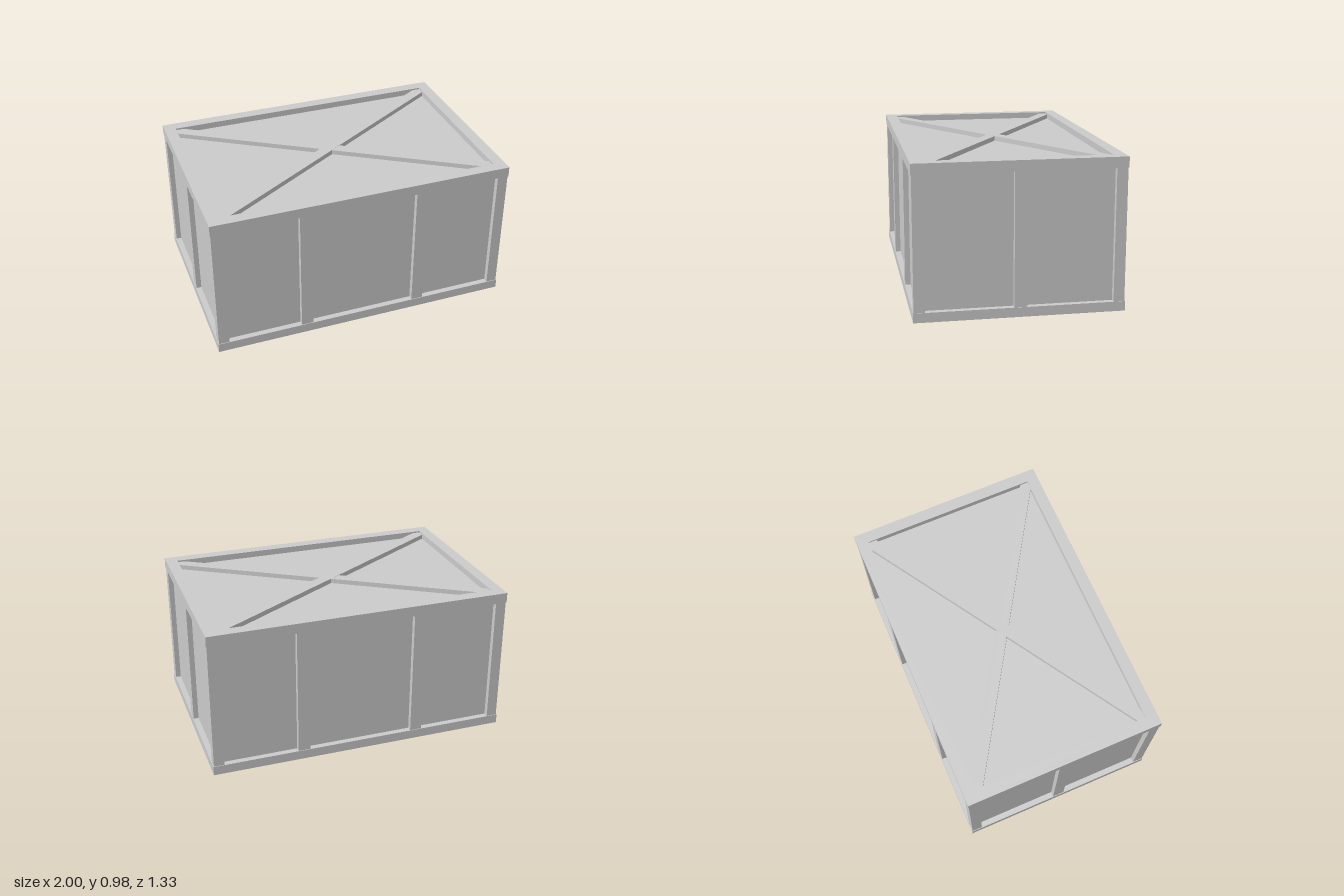
import * as THREE from 'three';

const X = 1, Z = 0.663, H = 0.98;        // outer half sizes and height
const RAIL = 0.077, LOW = 0.062, HIGH = 0.912; // rail width, rail levels
const RECESS = 0.038, INSET = 0.004;     // panel depth, post setback

export function createModel() {
  const crate = new THREE.Group();
  crate.name = 'crate';
  const material = new THREE.MeshStandardMaterial({ color: 0xcccccc, flatShading: true });

  function add(name, geometry, x = 0, y = 0, z = 0, turn = 0) {
    const mesh = new THREE.Mesh(geometry, material);
    mesh.name = name;
    mesh.position.set(x, y, z);
    mesh.rotation.y = turn;
    crate.add(mesh);
    return mesh;
  }

  // Rail with mitred ends; its outer edge lies at distance `out` from the centre
  function rail(name, half, out, y0, y1, turn) {
    const shape = new THREE.Shape([
      new THREE.Vector2(-half, -out),
      new THREE.Vector2(half, -out),
      new THREE.Vector2(half - RAIL, RAIL - out),
      new THREE.Vector2(RAIL - half, RAIL - out),
    ]);
    const geometry = new THREE.ExtrudeGeometry(shape, { depth: y1 - y0, bevelEnabled: false });
    geometry.rotateX(-Math.PI / 2);
    add(name, geometry, 0, y0, 0, turn);
  }

  // Recessed body whose faces are the side, top and floor panels
  const floorY = 0.055, lidY = 0.938;
  add('panels', new THREE.BoxGeometry(2 * (X - RECESS), lidY - floorY, 2 * (Z - RECESS)),
    0, (floorY + lidY) / 2, 0);

  // Top and bottom frames
  for (const [name, y0, y1] of [['bottomRail', 0, LOW], ['topRail', HIGH, H]]) {
    for (const turn of [0, Math.PI]) {
      rail(name, X, Z, y0, y1, turn);
      rail(name, Z, X, y0, y1, turn + Math.PI / 2);
    }
  }

  // Upright posts
  const postH = HIGH - LOW, postY = (HIGH + LOW) / 2, W = 0.07, M = 0.08;
  const corner = new THREE.BoxGeometry(W, postH, W);
  const wallPost = new THREE.BoxGeometry(M, postH, RECESS + 0.02);
  const endPost = new THREE.BoxGeometry(RECESS + 0.02, postH, M);
  const inward = INSET + (RECESS + 0.02) / 2;
  for (const s of [-1, 1]) {
    add('endPost', endPost, s * (X - inward), postY, 0);
    for (const t of [-1, 1]) {
      add('cornerPost', corner, s * (X - INSET - W / 2), postY, t * (Z - INSET - W / 2));
      add('wallPost', wallPost, s * 0.393, postY, t * (Z - inward));
    }
  }

  // Crossed braces on the lid, ends cut to fit inside the top frame
  const ix = X - RAIL, iz = Z - RAIL, cx = 0.055, cz = 0.053;
  for (const [s, top] of [[1, 0.97], [-1, 0.969]]) {
    const points = [
      [ix, iz], [ix - cx, iz], [-ix, cz - iz],
      [-ix, -iz], [cx - ix, -iz], [ix, iz - cz],
    ].map(([x, z]) => new THREE.Vector2(x * s, z));
    const geometry = new THREE.ExtrudeGeometry(new THREE.Shape(points),
      { depth: top - lidY + 0.01, bevelEnabled: false });
    geometry.rotateX(-Math.PI / 2);
    add('lidBrace', geometry, 0, lidY - 0.01, 0);
  }
  return crate;
}
